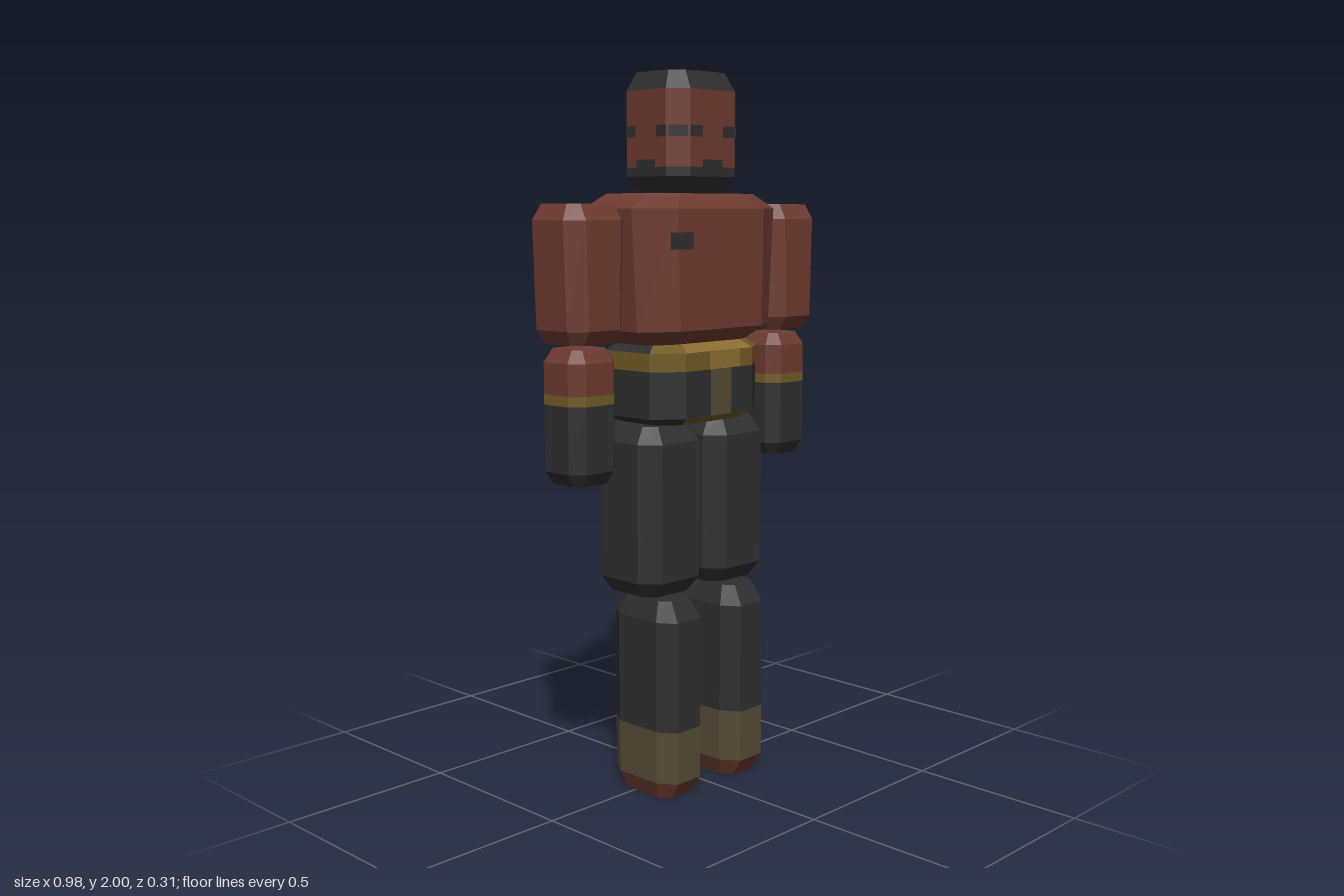
import * as THREE from 'three';

const mat = (name, color) => {
  const m = new THREE.MeshStandardMaterial({ color });
  m.name = name;
  return m;
};
const RED = 0, DARK = 1, GOLD = 2, BRIGHT = 3, OLIVE = 4;

// Eight corners of a bevelled rectangle, anticlockwise seen from above
function corners({ y, w, d, cw, cd, x = 0, z = 0 }) {
  return [[w - cw, d], [w, d - cd], [w, cd - d], [w - cw, -d],
    [cw - w, -d], [-w, cd - d], [-w, d - cd], [cw - w, d]]
    .map(([px, pz]) => [px + x, y, pz + z]);
}

// Faceted block from rings listed bottom to top; bands gives a colour index per
// wall band, or a function of the side number (7 front, 1 left, 3 back, 5 right)
function block(name, materials, rings, bands, bottom, top) {
  const loops = rings.map(corners), pos = [], geo = new THREE.BufferGeometry();
  const face = (color, ...pts) => {
    geo.addGroup(pos.length / 3, pts.length, color);
    pos.push(...pts.flat());
  };
  for (let r = 0; r < loops.length - 1; r++) {
    const a = loops[r], b = loops[r + 1];
    for (let i = 0; i < 8; i++) {
      const j = (i + 1) % 8;
      const color = typeof bands[r] === 'function' ? bands[r](i) : bands[r];
      face(color, a[i], a[j], b[j], a[i], b[j], b[i]);
    }
  }
  const low = loops[0], high = loops[loops.length - 1];
  for (let i = 1; i < 7; i++) {
    face(bottom, low[0], low[i + 1], low[i]);
    face(top, high[0], high[i], high[i + 1]);
  }
  geo.setAttribute('position', new THREE.Float32BufferAttribute(pos, 3));
  geo.computeVertexNormals();
  const mesh = new THREE.Mesh(geo, materials);
  mesh.name = name;
  return mesh;
}

export function createModel() {
  const materials = [mat('brick red', 0x6d3a30), mat('charcoal', 0x2f2f30),
    mat('dull gold', 0x705a25), mat('bright gold', 0x8c6d30), mat('olive', 0x554b35)];
  const model = new THREE.Group();
  model.name = 'figure';

  // Thin painted plate
  const plate = (parent, name, color, [w, h, d], [x, y, z], turn = 0) => {
    const m = new THREE.Mesh(new THREE.BoxGeometry(w, h, d), materials[color]);
    m.name = name;
    m.position.set(x, y, z);
    m.rotation.y = turn;
    parent.add(m);
  };

  // Head: dark beard below, dark hair rim above
  const head = new THREE.Group();
  head.name = 'head';
  const hw = { w: 0.137, d: 0.118, cw: 0.05, cd: 0.043 };
  head.add(block('skull', materials, [
    { y: 1.67, w: 0.1, d: 0.083, cw: 0.035, cd: 0.03 },
    { y: 1.72, ...hw }, { y: 1.745, ...hw }, { y: 1.95, ...hw },
    { y: 2.0, w: 0.112, d: 0.09, cw: 0.035, cd: 0.03 },
  ], [DARK, DARK, RED, DARK], DARK, RED));
  const T = 0.004;
  for (const sx of [1, -1]) {
    for (const sz of [1, -1]) {
      // Eye marks wrap round each bevelled corner
      plate(head, 'eye', DARK, [0.046, 0.03, T], [sx * 0.063, 1.84, sz * 0.118]);
      plate(head, 'eyeCorner', DARK, [0.052, 0.03, T],
        [sx * 0.112, 1.84, sz * 0.0965], sx * sz * Math.atan2(0.043, 0.05));
      plate(head, 'eyeSide', DARK, [T, 0.03, 0.035], [sx * 0.137, 1.84, sz * 0.058]);
    }
    plate(head, 'mouth', DARK, [0.075, 0.02, T], [0, 1.755, sx * 0.118]);
    plate(head, 'mouthSide', DARK, [T, 0.02, 0.07], [sx * 0.137, 1.755, 0]);
    plate(head, 'crownMark', DARK, [0.07, T, 0.03], [sx * 0.075 + 0.002, 1.999, 0]);
  }
  plate(head, 'crownFrontMark', DARK, [0.115, T, 0.016], [0, 1.999, 0.082]);
  plate(head, 'crownBackMark', DARK, [0.16, T, 0.028], [0, 1.999, -0.074]);
  model.add(head);

  // Torso
  const torso = new THREE.Group();
  torso.name = 'torso';
  torso.add(block('chest', materials, [
    { y: 1.27, w: 0.2, d: 0.11, cw: 0.08, cd: 0.045 },
    { y: 1.31, w: 0.262, d: 0.154, cw: 0.1, cd: 0.062 },
    { y: 1.635, w: 0.282, d: 0.154, cw: 0.112, cd: 0.062 },
    { y: 1.675, w: 0.208, d: 0.115, cw: 0.085, cd: 0.035 },
  ], [RED, RED, RED], RED, RED));
  for (const s of [1, -1]) {
    plate(torso, 'badge', DARK, [0.08, 0.045, T], [-0.155, 1.55, s * 0.154]);
  }
  plate(torso, 'shoulderMark', DARK, [0.05, T, 0.04], [-0.165, 1.675, 0.06]);
  model.add(torso);

  // Hips with belt, buckle and front panel
  const hips = new THREE.Group();
  hips.name = 'hips';
  const pw = { w: 0.213, d: 0.147, cw: 0.08, cd: 0.06 };
  hips.add(block('waist', materials, [
    { y: 1.05, w: 0.17, d: 0.11, cw: 0.06, cd: 0.045 },
    { y: 1.072, ...pw }, { y: 1.2, ...pw }, { y: 1.25, ...pw },
    { y: 1.272, w: 0.18, d: 0.115, cw: 0.065, cd: 0.045 },
  ], [i => (i === 7 ? GOLD : DARK), DARK, GOLD,
    i => (i === 7 ? BRIGHT : i === 0 || i === 6 ? GOLD : DARK)], DARK, DARK));
  plate(hips, 'buckle', BRIGHT, [0.12, 0.05, T], [0.02, 1.225, 0.147]);
  plate(hips, 'frontPanel', OLIVE, [0.08, 0.128, T], [0.005, 1.136, 0.147]);
  model.add(hips);

  for (const [side, s] of [['left', 1], ['right', -1]]) {
    // Arm
    const arm = new THREE.Group();
    arm.name = side + 'Arm';
    const ax = s * 0.386;
    arm.add(block('upperArm', materials, [
      { y: 1.285, w: 0.075, d: 0.075, cw: 0.025, cd: 0.025, x: ax },
      { y: 1.322, w: 0.094, d: 0.1, cw: 0.04, cd: 0.04, x: ax },
      { y: 1.605, w: 0.104, d: 0.1, cw: 0.043, cd: 0.04, x: ax },
      { y: 1.647, w: 0.082, d: 0.075, cw: 0.025, cd: 0.025, x: ax },
    ], [RED, RED, RED], RED, RED));
    const fw = { w: 0.082, d: 0.08, cw: 0.033, cd: 0.033, x: ax };
    const fe = { w: 0.06, d: 0.058, cw: 0.02, cd: 0.02, x: ax };
    arm.add(block('forearm', materials, [
      { y: 0.912, ...fe }, { y: 0.948, ...fw }, { y: 1.126, ...fw },
      { y: 1.153, ...fw }, { y: 1.238, ...fw }, { y: 1.272, ...fe },
    ], [DARK, DARK, GOLD, RED, RED], DARK, RED));
    model.add(arm);

    // Leg
    const leg = new THREE.Group();
    leg.name = side + 'Leg';
    const tw = { w: 0.117, d: 0.123, cw: 0.046, cd: 0.05, x: s * 0.128 };
    const te = { w: 0.085, d: 0.09, cw: 0.03, cd: 0.03, x: s * 0.128 };
    leg.add(block('thigh', materials, [
      { y: 0.577, ...te }, { y: 0.622, ...tw }, { y: 1.005, ...tw }, { y: 1.05, ...te },
    ], [DARK, DARK, DARK], DARK, DARK));
    const cw = { w: 0.079, d: 0.123, cw: 0.034, cd: 0.05, x: s * 0.129, z: 0.032 };
    const ce = { w: 0.057, d: 0.09, cw: 0.022, cd: 0.03, x: s * 0.129, z: 0.032 };
    leg.add(block('shinAndBoot', materials, [
      { y: 0, ...ce }, { y: 0.052, ...cw }, { y: 0.2, ...cw },
      { y: 0.512, ...cw }, { y: 0.567, ...ce },
    ], [RED, OLIVE, DARK, DARK], DARK, DARK));
    model.add(leg);
  }
  return model;
}
